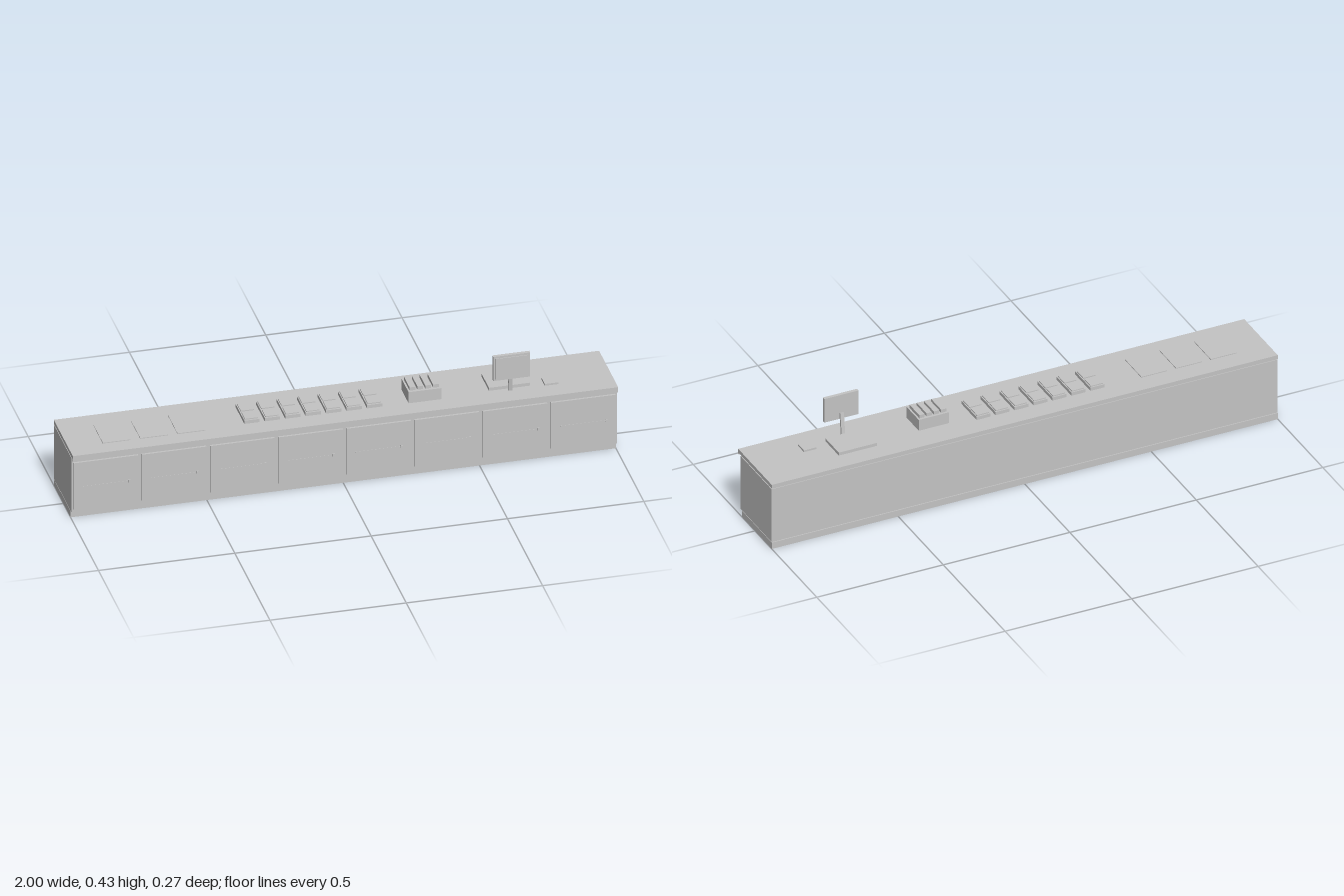
import * as THREE from 'three';

export function createModel() {
  const group = new THREE.Group();
  const grey = new THREE.MeshStandardMaterial({ color: 0xc4c4c4 });
  grey.name = 'light grey';

  // box given by its limits along each axis
  function box(name, x0, x1, y0, y1, z0, z1) {
    const mesh = new THREE.Mesh(new THREE.BoxGeometry(x1 - x0, y1 - y0, z1 - z0), grey);
    mesh.position.set((x0 + x1) / 2, (y0 + y1) / 2, (z0 + z1) / 2);
    mesh.name = name;
    group.add(mesh);
    return mesh;
  }

  // cabinet run and worktop
  const top = 0.267;
  box('plinth', -1, 1, 0, 0.026, -0.136, 0.103);
  box('cabinetBody', -1, 1, 0.028, 0.248, -0.135, 0.117);
  box('shadowGap', -0.997, 0.997, 0.248, 0.252, -0.132, 0.115);
  box('plinthGap', -0.997, 0.997, 0.026, 0.028, -0.132, 0.1);
  box('worktop', -1, 1, 0.252, top, -0.136, 0.136);
  box('worktopLip', -1, 1, 0.245, 0.252, 0.132, 0.136);

  // eight door fronts with a slim rail and a knob
  for (let i = 0; i < 8; i++) {
    const x = -0.875 + i * 0.25;
    box('door', x - 0.118, x + 0.118, 0.041, 0.231, 0.117, 0.125);
    box('doorRail', x - 0.085, x + 0.085, 0.131, 0.133, 0.125, 0.126);
    box('doorKnob', x + 0.08, x + 0.088, 0.128, 0.137, 0.125, 0.129);
  }

  // three flat mats
  for (let i = 0; i < 3; i++) {
    const x = -0.823 + i * 0.137;
    box('mat', x - 0.051, x + 0.051, top, 0.27, -0.06, 0.074);
  }

  // seven trays, each with two raised lids
  for (let i = 0; i < 7; i++) {
    const x = -0.324 + i * 0.075;
    box('tray', x - 0.028, x + 0.028, top, 0.28, -0.061, 0.062);
    box('trayLidBack', x - 0.024, x + 0.024, 0.28, 0.284, -0.056, -0.004);
    box('trayLidFront', x - 0.024, x + 0.024, 0.28, 0.284, 0.004, 0.056);
  }

  // box holding four bars
  box('holder', 0.25, 0.37, top, 0.312, -0.036, 0.063);
  for (let i = 0; i < 4; i++) {
    const x = 0.267 + i * 0.0287;
    box('holderBar', x - 0.0105, x + 0.0105, 0.312, 0.325, -0.027, 0.053);
  }

  // till slab, leaning neck and display
  box('tillSlab', 0.549, 0.699, top, 0.279, -0.062, 0.047);
  const neck = box('displayNeck', 0.616, 0.63, 0.266, 0.352, 0.061, 0.069);
  neck.rotation.x = 0.13;
  box('displayCase', 0.555, 0.69, 0.327, 0.425, 0.073, 0.086);
  box('displayScreen', 0.563, 0.682, 0.335, 0.417, 0.086, 0.089);

  // small card pad
  box('cardPad', 0.75, 0.8, top, 0.274, 0.013, 0.061);

  return group;
}
